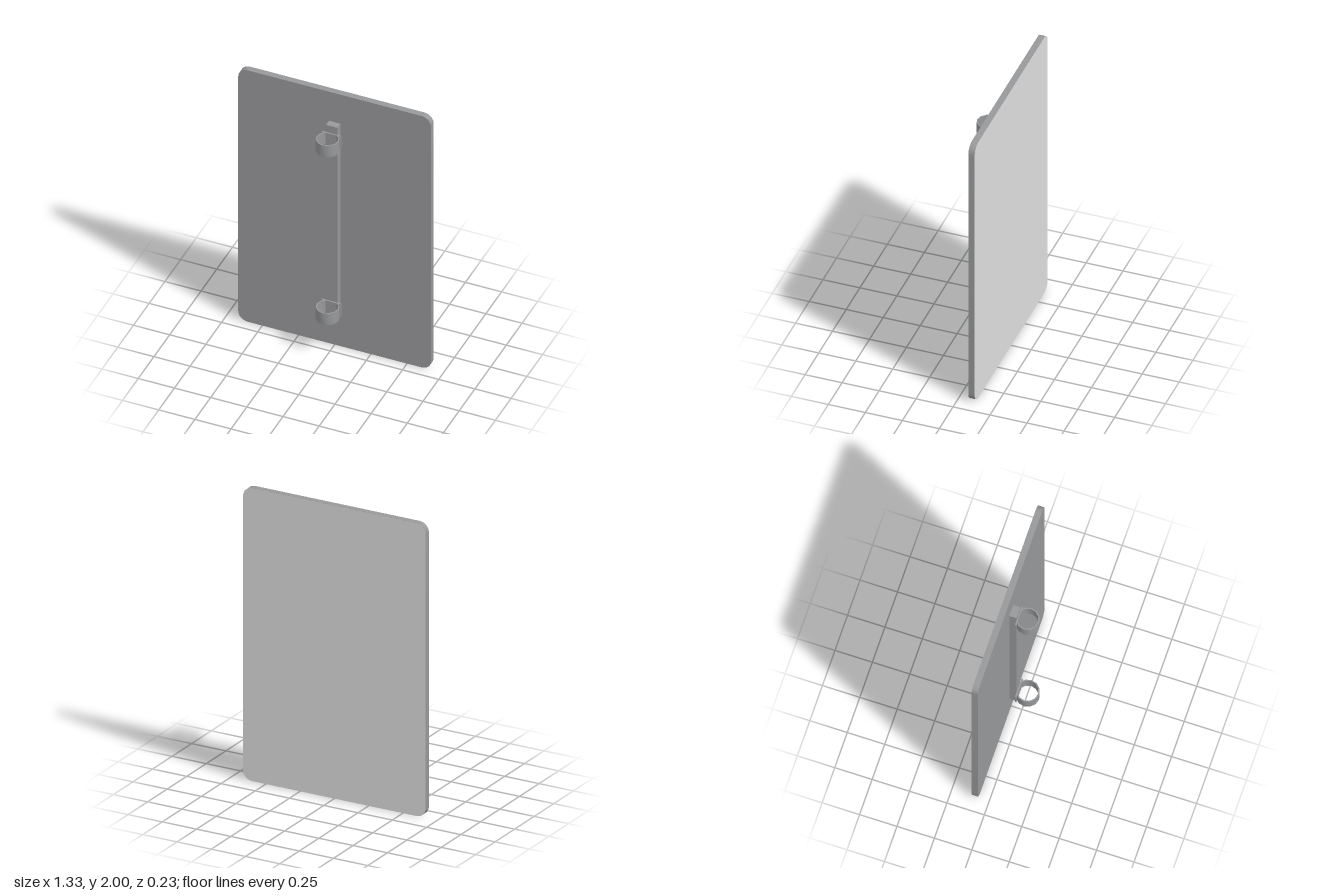
import * as THREE from 'three';
import { toCreasedNormals } from 'three/addons/utils/BufferGeometryUtils.js';

function flatColour(name, color) {
  const material = new THREE.MeshStandardMaterial({ color });
  material.name = name;
  return material;
}
const grey = flatColour('metalGrey', 0x98999b);
const paleGrey = flatColour('paleGrey', 0xdfdfdf);

function addPart(parent, name, geometry, material, x, y, z) {
  const mesh = new THREE.Mesh(geometry, material);
  mesh.name = name;
  mesh.position.set(x, y, z);
  parent.add(mesh);
  return mesh;
}

// Rectangle with rounded corners, centred on the origin
function roundedRectangle(width, height, radius) {
  const w = width / 2 - radius, h = height / 2 - radius;
  const shape = new THREE.Shape();
  [[1, 1], [-1, 1], [-1, -1], [1, -1]].forEach(([sx, sy], i) => {
    const start = i * Math.PI / 2;
    shape.absarc(sx * w, sy * h, radius, start, start + Math.PI / 2, false);
  });
  return shape;
}

// Twelve-sided ring, open at the back where it meets its plate
function clipGeometry(outer, inner, height) {
  const points = [];
  const addArc = (radius, direction) => {
    for (let i = -5; i <= 5; i++) {
      const a = direction * i * Math.PI / 6;
      points.push(new THREE.Vector2(radius * Math.sin(a), radius * Math.cos(a)));
    }
  };
  addArc(outer, 1);
  addArc(inner, -1);
  const geometry = new THREE.ExtrudeGeometry(new THREE.Shape(points), { depth: height, bevelEnabled: false });
  geometry.translate(0, 0, -height / 2).rotateX(Math.PI / 2);
  return toCreasedNormals(geometry, 0.6);
}

export function createModel() {
  const model = new THREE.Group();
  model.name = 'signPanel';

  // Panel, with a pale sign face on the side away from the rail
  const outline = roundedRectangle(1.332, 2, 0.067);
  const board = new THREE.ExtrudeGeometry(outline, { depth: 0.042, bevelEnabled: false, curveSegments: 8 });
  addPart(model, 'panel', toCreasedNormals(board, 0.6), grey, 0, 1, -0.114);
  const face = new THREE.ShapeGeometry(outline, 8).rotateY(Math.PI);
  addPart(model, 'signFace', face, paleGrey, 0, 1, -0.115);

  addPart(model, 'rail', new THREE.BoxGeometry(0.078, 1.534, 0.047), grey, 0, 1.002, -0.0485);

  // Upper and lower pole clamps
  const clampHeight = 0.09;
  for (const [name, y] of [['upperClamp', 1.668], ['lowerClamp', 0.334]]) {
    const clamp = new THREE.Group();
    clamp.name = name;
    clamp.position.y = y;
    addPart(clamp, 'clampPlate', new THREE.BoxGeometry(0.132, clampHeight, 0.01), grey, 0, 0, -0.021);
    addPart(clamp, 'clampRing', clipGeometry(0.0765, 0.068, clampHeight), grey, 0, 0, 0.0385);
    model.add(clamp);
  }
  return model;
}
